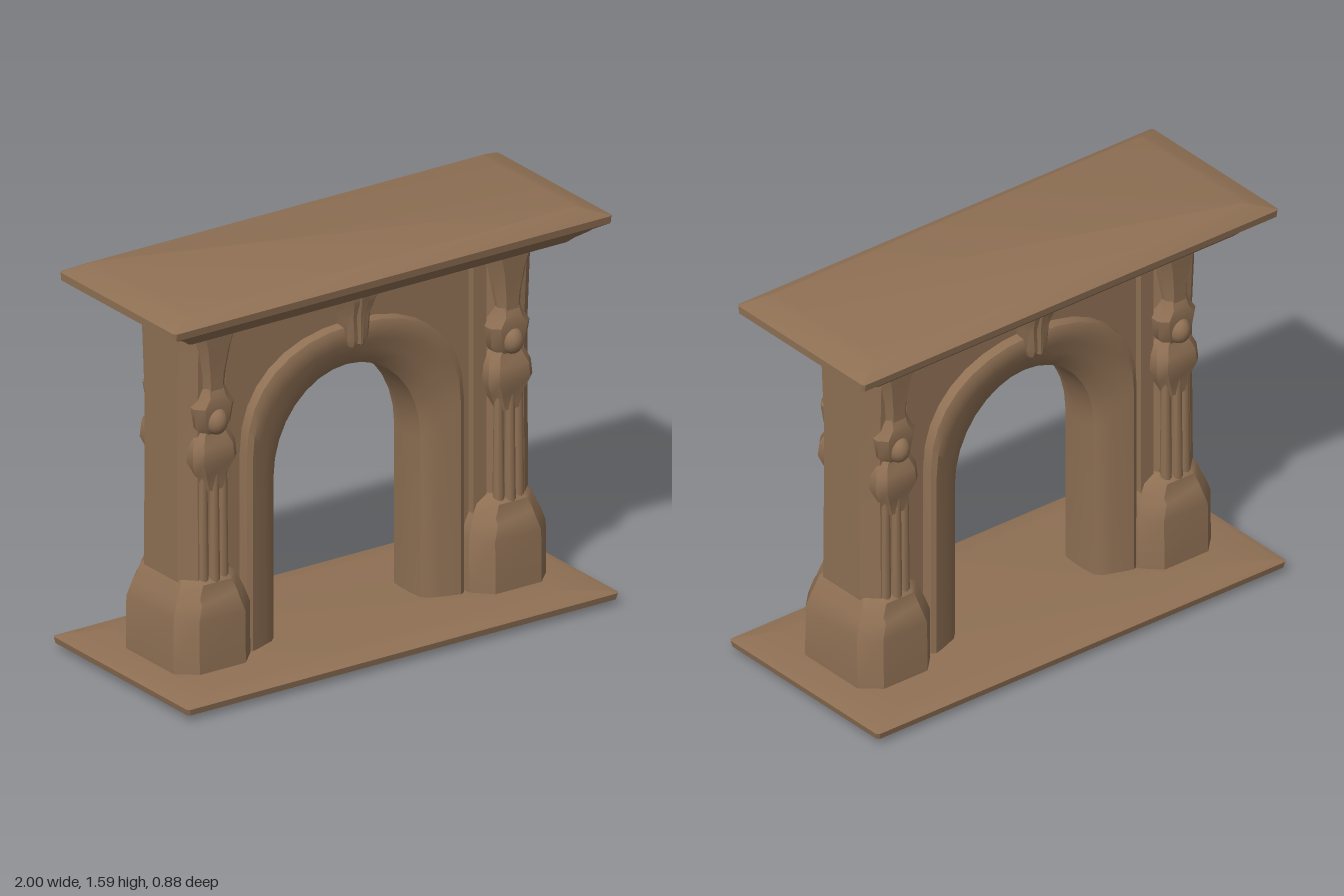
import * as THREE from 'three';
import { toCreasedNormals } from 'three/addons/utils/BufferGeometryUtils.js';

const stone = new THREE.MeshStandardMaterial({ color: 0x8f7054, side: THREE.DoubleSide });
stone.name = 'brownStone';

// Skin a list of cross-sections; closed ones are capped at both ends.
function loft(rings, closed = true) {
  const n = rings[0].length, pos = [], idx = [];
  rings.forEach(r => r.forEach(p => pos.push(...p)));
  for (let i = 0; i < rings.length - 1; i++) {
    for (let j = 0; j < (closed ? n : n - 1); j++) {
      const k = (j + 1) % n, a = i * n + j, b = i * n + k;
      idx.push(a, b, b + n, a, b + n, a + n);
    }
  }
  if (closed) {
    const t = (rings.length - 1) * n;
    for (let j = 1; j < n - 1; j++) idx.push(0, j + 1, j, t, t + j, t + j + 1);
  }
  const g = new THREE.BufferGeometry();
  g.setAttribute('position', new THREE.Float32BufferAttribute(pos, 3));
  g.setIndex(idx);
  return toCreasedNormals(g, 0.6);
}

// Horizontal rectangle with chamfered corners.
function octo(cx, cz, y, hx, hz, c) {
  return [[hx, hz - c], [hx, c - hz], [hx - c, -hz], [c - hx, -hz],
    [-hx, c - hz], [-hx, hz - c], [c - hx, hz], [hx - c, hz]].map(([x, z]) => [cx + x, y, cz + z]);
}

// Stack of chamfered rectangles: rows are [y, halfX, halfZ, chamfer].
const stack = (cx, cz, rows) => loft(rows.map(([y, hx, hz, c]) => octo(cx, cz, y, hx, hz, c)));

// Arch outline from the right foot over the crown to the left foot.
function archPoints(w, spring, apex, power = 1) {
  const pts = [[w, 0.05]], n = 16;
  for (let i = 0; i <= n; i++) {
    const a = Math.PI * i / n, c = Math.cos(a);
    pts.push([w * Math.sign(c) * Math.abs(c) ** power, spring + (apex - spring) * Math.sin(a) ** power]);
  }
  pts.push([-w, 0.05]);
  return pts.map(([x, y]) => [x - 0.01, y]);
}

export function createModel() {
  const model = new THREE.Group();
  model.name = 'fireplace';
  const add = (name, geo, parent = model) => {
    const m = new THREE.Mesh(geo, stone);
    m.name = name;
    parent.add(m);
    return m;
  };
  const box = (name, x, y, z, w, h, d, parent) =>
    add(name, new THREE.BoxGeometry(w, h, d), parent).position.set(x, y, z);

  // Hearth and mantel slabs
  add('hearthSlab', stack(0, 0, [[0, 0.87, 0.37, 0.01], [0.025, 0.98, 0.435, 0.01],
    [0.05, 0.985, 0.44, 0.01], [0.06, 0.95, 0.42, 0.01], [0.07, 0.8, 0.34, 0.01]]));
  add('mantelShelf', stack(0, 0, [[1.435, 0.83, 0.23, 0.01], [1.445, 0.865, 0.28, 0.01],
    [1.465, 0.885, 0.3, 0.01], [1.49, 0.93, 0.33, 0.01], [1.5, 0.94, 0.34, 0.01],
    [1.52, 1, 0.37, 0.01], [1.55, 1, 0.375, 0.01], [1.58, 0.92, 0.325, 0.01], [1.59, 0.88, 0.305, 0.01]]));

  // Wall with the wide outer arch cut out
  const outer = archPoints(0.5, 0.86, 1.28, 0.88);
  const wall = new THREE.Shape();
  wall.moveTo(0.66, 0.05);
  [[0.66, 1.44], [-0.66, 1.44], [-0.66, 0.05]].forEach(p => wall.lineTo(...p));
  outer.slice().reverse().forEach(p => wall.lineTo(...p));
  const wallGeo = new THREE.ExtrudeGeometry(wall, { depth: 0.2, bevelEnabled: false });
  add('spandrelWall', wallGeo.translate(0, 0, -0.1));

  // Moulded arch lining, narrowest at mid depth and splayed to both faces
  const half = [[0.5, 0.86, 1.28, 0.1, 0.88], [0.495, 0.86, 1.275, 0.14, 0.88], [0.475, 0.84, 1.25, 0.15, 0.9],
    [0.44, 0.81, 1.2, 0.14, 0.92], [0.4, 0.77, 1.16, 0.125, 0.96], [0.36, 0.74, 1.12, 0.11, 1],
    [0.335, 0.72, 1.095, 0.085, 1], [0.33, 0.7, 1.09, 0.03, 1]];
  const sections = [...half, ...half.slice().reverse().map(([w, s, a, z, p]) => [w, s, a, -z, p])];
  add('archLining', loft(sections.map(([w, s, a, z, p]) =>
    archPoints(w, s, a, p).map(([x, y]) => [x, y, z])), false));

  for (const sx of [1, -1]) {
    // Corner piers on broad plinths
    const x = 0.675 * sx;
    add('pierPlinth', stack(x, 0, [[0.05, 0.175, 0.225, 0.07], [0.28, 0.175, 0.222, 0.07],
      [0.34, 0.155, 0.212, 0.07], [0.36, 0.145, 0.198, 0.06], [0.41, 0.125, 0.19, 0.06], [0.44, 0.105, 0.15, 0.05]]));
    add('pierShaft', stack(0.695 * sx, 0, [[0.4, 0.105, 0.165, 0.055], [0.8, 0.105, 0.16, 0.055],
      [1.1, 0.105, 0.16, 0.055], [1.44, 0.105, 0.175, 0.05]]));

    for (const sz of [1, -1]) {
      const carving = new THREE.Group();
      carving.name = 'pierCarving';
      model.add(carving);
      // Slender fluted shafts between plinth and bracket
      for (const dx of [-0.045, 0, 0.045]) {
        const rod = add('colonnette', new THREE.CylinderGeometry(0.018, 0.023, 0.45, 8), carving);
        rod.position.set(x + dx, 0.62, sz * (dx ? 0.158 : 0.168));
      }
      // Bracket, bust and flared capital
      add('bracket', stack(x, sz * 0.13, [[0.78, 0.05, 0.05, 0.02], [0.84, 0.075, 0.055, 0.03],
        [0.9, 0.1, 0.072, 0.03], [0.96, 0.095, 0.068, 0.03], [1.0, 0.08, 0.05, 0.03], [1.03, 0.055, 0.045, 0.02]]), carving);
      add('bust', stack(x, sz * 0.13, [[1.0, 0.05, 0.045, 0.02], [1.04, 0.08, 0.06, 0.03],
        [1.12, 0.09, 0.068, 0.03], [1.16, 0.065, 0.065, 0.03], [1.2, 0.05, 0.05, 0.02]]), carving);
      const head = add('head', new THREE.SphereGeometry(0.05, 16, 12), carving);
      head.position.set(x, 1.06, sz * 0.178);
      head.scale.set(0.9, 1.1, 1);
      add('capital', stack(x, sz * 0.13, [[1.16, 0.045, 0.055, 0.02], [1.25, 0.06, 0.058, 0.03],
        [1.35, 0.075, 0.068, 0.03], [1.44, 0.09, 0.076, 0.02]]), carving);
      // Raised frame beside the arch
      box('sideMoulding', 0.565 * sx, 0.8, sz * 0.11, 0.06, 1.26, 0.04);
    }
  }

  for (const sz of [1, -1]) {
    // Frieze band with a tapering keystone below it
    box('friezeBand', 0, 1.415, sz * 0.115, 1.2, 0.05, 0.05);
    add('keystone', stack(-0.012, sz * 0.12, [[1.195, 0.035, 0.045, 0.01], [1.23, 0.048, 0.058, 0.02],
      [1.32, 0.055, 0.06, 0.02], [1.38, 0.075, 0.08, 0.03], [1.42, 0.085, 0.088, 0.03], [1.44, 0.08, 0.08, 0.03]]));
    add('keystoneRib', stack(-0.012, sz * 0.16, [[1.21, 0.012, 0.025, 0.008], [1.32, 0.02, 0.032, 0.01],
      [1.42, 0.03, 0.055, 0.012]]));
  }
  return model;
}
